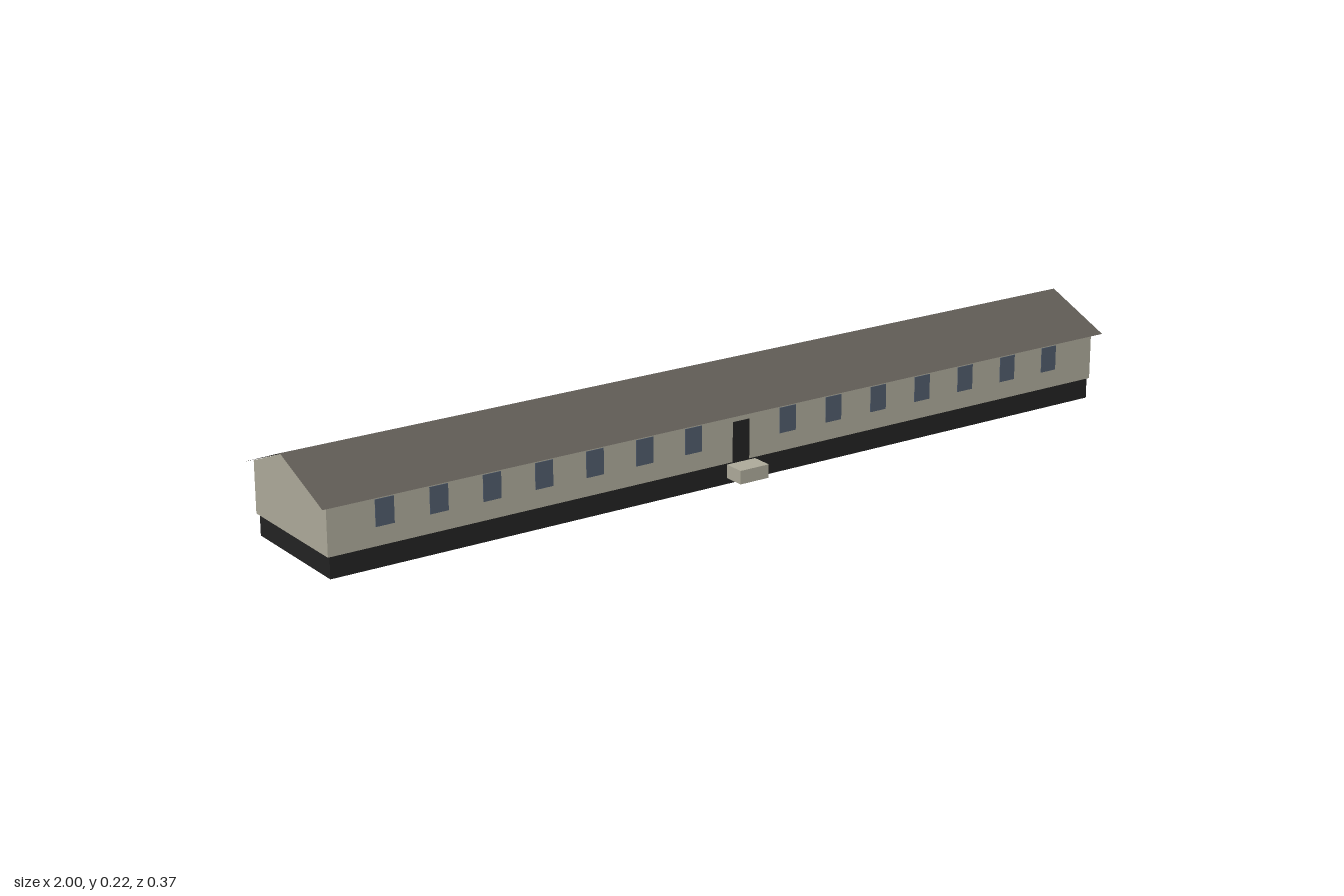
import * as THREE from 'three';

const mat = (name, color, side = THREE.FrontSide) => {
  const m = new THREE.MeshStandardMaterial({ color, side });
  m.name = name;
  return m;
};

export function createModel() {
  const house = new THREE.Group();
  house.name = 'longHouse';

  const wall = mat('wall beige', 0xaca999);
  const roof = mat('roof grey brown', 0x5f5b55, THREE.DoubleSide);
  const dark = mat('foundation black', 0x222222);
  const glass = mat('window blue grey', 0x4f5b6b);

  const midZ = -0.0155;    // ridge line
  const halfDepth = 0.15;  // ridge to wall face
  const eaveY = 0.16, ridgeY = 0.22, baseY = 0.047;

  const add = (name, geometry, material, x = 0, y = 0, z = 0) => {
    const mesh = new THREE.Mesh(geometry, material);
    mesh.name = name;
    mesh.position.set(x, y, z);
    house.add(mesh);
    return mesh;
  };

  // Foundation plinth
  add('foundation', new THREE.BoxGeometry(1.956, baseY, 0.292), dark, 0, baseY / 2, midZ + 0.001);

  // Walls with both gables, extruded along x
  const gable = new THREE.Shape([
    [-halfDepth, baseY], [halfDepth, baseY], [halfDepth, eaveY], [0, ridgeY], [-halfDepth, eaveY],
  ].map(([z, y]) => new THREE.Vector2(z, y)));
  const length = 1.966;
  const body = new THREE.ExtrudeGeometry(gable, { depth: length, bevelEnabled: false });
  body.rotateY(-Math.PI / 2).translate(length / 2, 0, 0);
  add('walls', body, wall, 0, 0, midZ);

  // Two thin roof slopes with overhanging eaves
  const run = 0.1685;
  const pitch = Math.atan2(ridgeY - eaveY, halfDepth);
  const drop = run * Math.tan(pitch);
  for (const side of [1, -1]) {
    const slope = new THREE.PlaneGeometry(2, Math.hypot(run, drop));
    slope.rotateX(-Math.PI / 2 + side * pitch);
    add(side > 0 ? 'frontRoof' : 'backRoof', slope, roof,
      0, ridgeY + 0.0015 - drop / 2, midZ + side * run / 2);
  }

  // Seven windows each side of the middle, front and back
  const pane = new THREE.BoxGeometry(0.042, 0.057, 0.003);
  for (const face of [1, -1]) {
    for (const side of [1, -1]) {
      for (let i = 1; i <= 7; i++) {
        add('window', pane, glass, side * i * 0.1222, 0.116, midZ + face * halfDepth);
      }
    }
  }

  // Front door and its step
  add('door', new THREE.BoxGeometry(0.042, 0.089, 0.003), dark, 0, 0.0915, midZ + halfDepth);
  add('doorStep', new THREE.BoxGeometry(0.073, 0.03, 0.049), wall, 0, 0.03, 0.16);

  return house;
}
